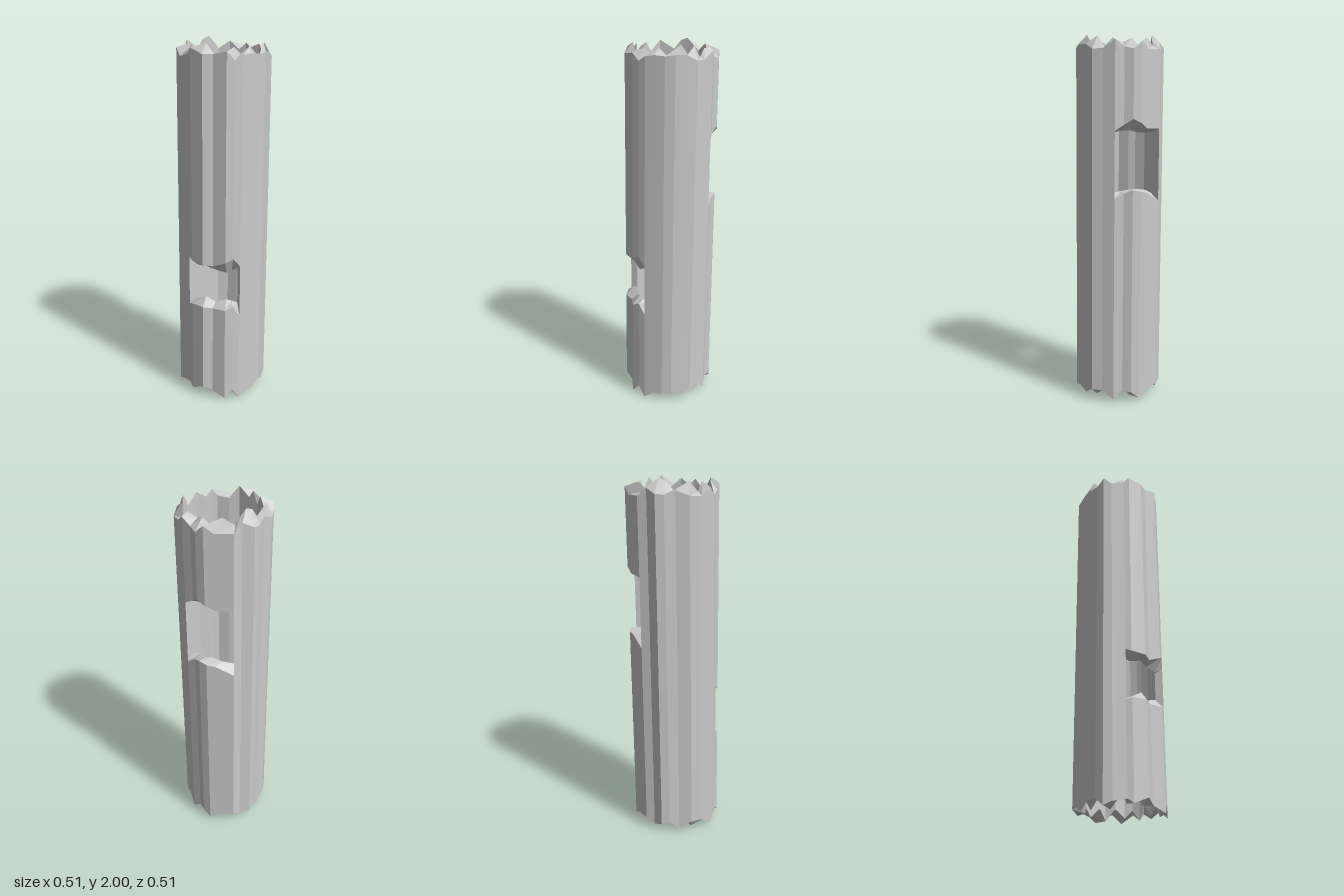
import * as THREE from 'three';

// Wall columns, counter-clockwise seen from below the front: outer x, z, inner x, z
const RING = [
  [-0.03, 0.235, -0.015, 0.195], [0.015, 0.23, 0.015, 0.19], [0.055, 0.222, 0.05, 0.18],
  [0.1, 0.2, 0.1, 0.17], [0.15, 0.175, 0.155, 0.135], [0.19, 0.14, 0.185, 0.1],
  [0.22, 0.09, 0.2, 0.06], [0.247, 0.043, 0.208, 0.03], [0.238, -0.015, 0.21, -0.01],
  [0.235, -0.08, 0.2, -0.05], [0.205, -0.12, 0.16, -0.09], [0.195, -0.168, 0.15, -0.14],
  [0.165, -0.203, 0.115, -0.16], [0.12, -0.22, 0.07, -0.195], [0.03, -0.255, 0.01, -0.205],
  [-0.015, -0.235, -0.02, -0.19], [-0.075, -0.24, -0.05, -0.18], [-0.11, -0.21, -0.085, -0.165],
  [-0.145, -0.165, -0.115, -0.145], [-0.2, -0.12, -0.18, -0.1], [-0.23, -0.06, -0.188, -0.04],
  [-0.248, -0.015, -0.18, 0], [-0.235, 0.03, -0.185, 0.06], [-0.205, 0.095, -0.17, 0.08],
  [-0.195, 0.125, -0.155, 0.1], [-0.145, 0.185, -0.12, 0.15], [-0.09, 0.19, -0.07, 0.165],
];
const N = RING.length;

// Openings: first column, then edge heights per column [outer, inner]
const HOLES = [
  {
    start: 23,
    low: [[0.56, 0.58], [0.57, 0.59], [0.57, 0.62], [0.56, 0.59], [0.56, 0.61], [0.58, 0.6], [0.52, 0.58]],
    high: [[0.84, 0.8], [0.83, 0.79], [0.82, 0.8], [0.81, 0.78], [0.84, 0.77], [0.86, 0.78], [0.81, 0.79]],
  },
  {
    start: 9,
    low: [[1.13, 1.16], [1.16, 1.17], [1.18, 1.18], [1.17, 1.18], [1.16, 1.17], [1.11, 1.15]],
    high: [[1.49, 1.48], [1.52, 1.49], [1.55, 1.49], [1.53, 1.48], [1.5, 1.48], [1.5, 1.48]],
  },
];

function seeded(seed) {
  return () => (seed = (seed * 16807) % 2147483647) / 2147483647;
}

// Splintered end heights, alternating long and short
function splinters(random) {
  return RING.map((_, i) => [
    0.035 + random() * 0.035 - (i % 3 === 0 ? 0.025 : 0),
    i % 2 ? 0.015 + random() * 0.03 : 0.07 + random() * 0.04,
  ]);
}

function buildWall() {
  const random = seeded(4711);
  const bottom = splinters(random);
  const top = splinters(random).map(([o, n]) => [1.99 - o - 0.015, 2 - n * 0.8]);
  bottom[2][0] = 0;
  top[16][1] = 2;

  const positions = [];
  // The trunk leans a little to its left and back
  const point = (i, side, y) => {
    const c = RING[i % N];
    return [c[side * 2] + 0.0075 * (y - 2), y, c[side * 2 + 1] - 0.01 * (y - 2)];
  };
  const quad = (a, b, c, d) => positions.push(...a, ...b, ...c, ...a, ...c, ...d);

  // One stretch of wall between two columns, closed at both ends
  const panel = (i, lowA, lowB, highA, highB) => {
    const j = i + 1;
    const [oa, ob] = [point(i, 0, lowA[0]), point(j, 0, lowB[0])];
    const [oc, od] = [point(j, 0, highB[0]), point(i, 0, highA[0])];
    const [ia, ib] = [point(i, 1, lowA[1]), point(j, 1, lowB[1])];
    const [ic, id] = [point(j, 1, highB[1]), point(i, 1, highA[1])];
    quad(oa, ob, oc, od);
    quad(ib, ia, id, ic);
    quad(od, oc, ic, id);
    quad(ia, ib, ob, oa);
  };

  for (let i = 0; i < N; i++) {
    const j = (i + 1) % N;
    let hole = null, k = 0;
    for (const h of HOLES) {
      const offset = (i - h.start + N) % N;
      if (offset < h.low.length - 1) { hole = h; k = offset; }
    }
    if (hole) {
      panel(i, bottom[i], bottom[j], hole.low[k], hole.low[k + 1]);
      panel(i, hole.high[k], hole.high[k + 1], top[i], top[j]);
    } else {
      panel(i, bottom[i], bottom[j], top[i], top[j]);
    }
  }

  // Upright cheeks at both sides of each opening
  for (const { start, low, high } of HOLES) {
    const cheek = (k, flip) => {
      const i = start + k;
      const c = [point(i, 0, low[k][0]), point(i, 1, low[k][1]), point(i, 1, high[k][1]), point(i, 0, high[k][0])];
      quad(...(flip ? c.reverse() : c));
    };
    cheek(0, false);
    cheek(low.length - 1, true);
  }

  const geometry = new THREE.BufferGeometry();
  geometry.setAttribute('position', new THREE.Float32BufferAttribute(positions, 3));
  geometry.computeVertexNormals();
  return geometry;
}

export function createModel() {
  const group = new THREE.Group();
  group.name = 'hollowLog';
  const material = new THREE.MeshStandardMaterial({
    color: 0xcccccc, flatShading: true, side: THREE.DoubleSide,
  });
  const wall = new THREE.Mesh(buildWall(), material);
  wall.name = 'barkWall';
  group.add(wall);
  return group;
}
